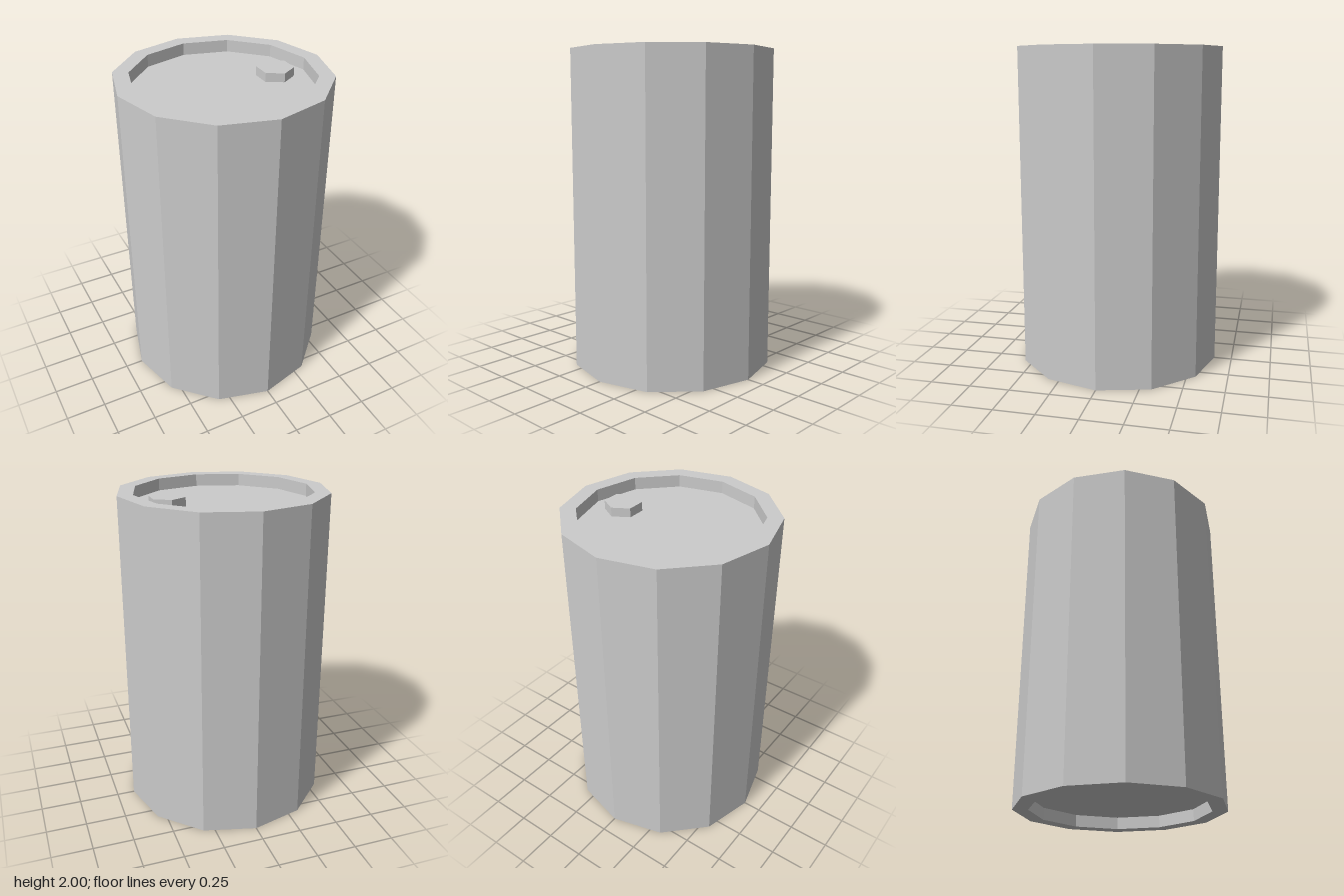
import * as THREE from 'three';

const SIDES = 12;
const RADIUS = 0.64;
const INNER = 0.545;
const HEIGHT = 2;
const RECESS = 0.075;

export function createModel() {
  const material = new THREE.MeshStandardMaterial({ color: 0xcccccc, flatShading: true });
  const group = new THREE.Group();
  group.name = 'drum';

  // Closed barrel with a recessed bottom and lid inside raised rims
  const profile = [
    [0, RECESS], [INNER, RECESS], [INNER, 0], [RADIUS, 0],
    [RADIUS, HEIGHT], [INNER, HEIGHT], [INNER, HEIGHT - RECESS], [0, HEIGHT - RECESS],
  ].map(([r, y]) => new THREE.Vector2(r, y));
  const barrel = new THREE.Mesh(new THREE.LatheGeometry(profile, SIDES), material);
  barrel.name = 'barrel';
  group.add(barrel);

  // Hexagonal filler cap standing on the lid
  const capHeight = 0.055;
  const cap = new THREE.Mesh(new THREE.CylinderGeometry(0.112, 0.112, capHeight, 6), material);
  cap.name = 'fillerCap';
  cap.position.set(0.345, HEIGHT - RECESS + capHeight / 2, 0);
  group.add(cap);

  return group;
}
